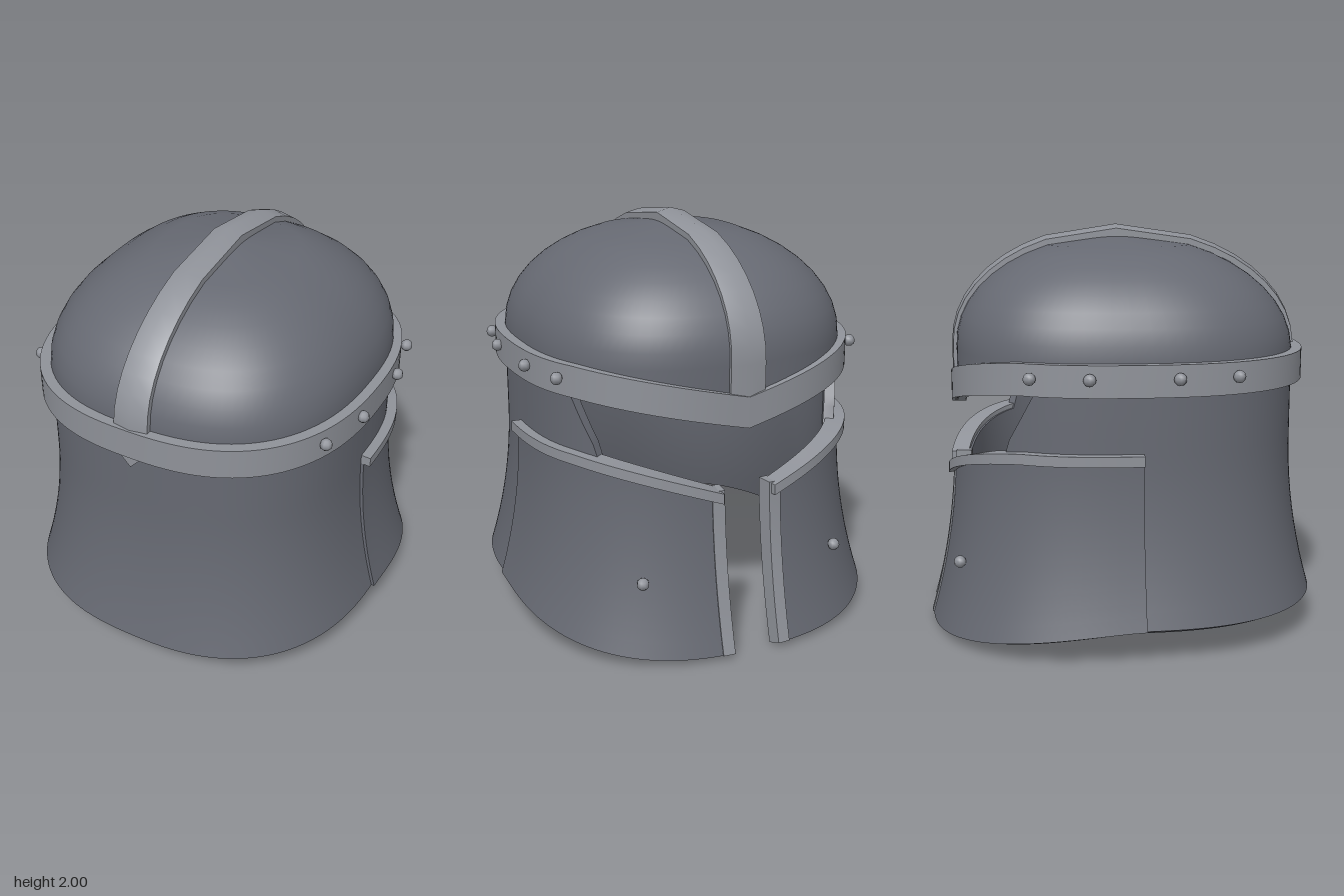
import * as THREE from 'three';
import { mergeGeometries } from 'three/addons/utils/BufferGeometryUtils.js';

const steel = new THREE.MeshStandardMaterial({ color: 0x666972 });
steel.name = 'dark steel';
const trim = new THREE.MeshStandardMaterial({ color: 0x8f9299 });
trim.name = 'light steel trim';

const { abs, sin, cos, sign, max, min, PI } = Math;
const lerp = THREE.MathUtils.lerp;
const soft = (a) => sign(a) * abs(a) ** 0.8;

// Smooth grid of points g(a, b), facing b x a (reversed by flip)
function grid(g, na, nb, flip) {
  const pos = [], idx = [];
  for (let j = 0; j <= nb; j++) for (let i = 0; i <= na; i++) pos.push(...g(i / na, j / nb));
  for (let j = 0; j < nb; j++) for (let i = 0; i < na; i++) {
    const p = j * (na + 1) + i, q = p + na + 1;
    if (flip) idx.push(p, p + 1, q, p + 1, q + 1, q);
    else idx.push(p, q, p + 1, p + 1, q, q + 1);
  }
  const geo = new THREE.BufferGeometry();
  geo.setAttribute('position', new THREE.Float32BufferAttribute(pos, 3));
  geo.setIndex(idx);
  geo.computeVertexNormals();
  return geo;
}

// Curved plate with thickness: f(u, v, s), s = 0 inside, 1 outside
function slab(f, nu, nv, flip = false) {
  const faces = [];
  for (const e of [0, 1]) {
    const r = (e === 0) !== flip;
    faces.push(grid((a, b) => f(a, b, e), nu, nv, r));
    faces.push(grid((a, b) => f(b, e, a), 1, nu, r));
    faces.push(grid((a, b) => f(e, a, b), nv, 1, r));
  }
  return mergeGeometries(faces);
}

// Helmet wall: angle t from the face opening (-z), height y, offset o
const SIDE = 0.795, FACE = 0.83, REAR = 0.865;
const flare = (y) => (max(0, 0.95 - y) / 0.8) ** 2;
function wall(t, y, o) {
  const k = flare(y), c = cos(t);
  const rz = c > 0 ? FACE + 0.1 * k : REAR + 0.118 * k;
  return [soft(sin(t)) * (SIDE + 0.122 * k + o), y, -soft(c) * (rz + o)];
}

// Edge curves
const bottomY = (t) => 0.165 - 0.14 * max(0, 0.05 + 0.95 * soft(cos(t))) ** 1.4;
const cheekDrop = (t) => {
  if (cos(t) < 0) return 0;
  const x = abs(soft(sin(t))) * 0.8;
  return 0.18 * min(1, max(0, 1 - (x - 0.115) / 0.6)) ** 1.3;
};
const browDip = (t) => cos(t) < 0 ? 0
  : 0.15 * max(0, 1 - abs(soft(sin(t))) * 0.845 / 0.75) ** 1.2;
function bodyTop(t) {
  const z = -FACE * soft(cos(t));
  if (z > -0.425) return 1.3;
  if (z > -0.58) return lerp(1.3, 1.0, (-0.425 - z) / 0.155);
  return 0.955 - cheekDrop(t);
}

export function createModel() {
  const model = new THREE.Group();
  model.name = 'helmet';
  const add = (name, geo, mat) => {
    const mesh = new THREE.Mesh(geo, mat);
    mesh.name = name;
    model.add(mesh);
    return mesh;
  };
  const GAP = 0.1;

  // Neck and side wall, open at the face
  add('neckGuard', slab((u, v, s) => {
    const t = lerp(GAP, 2 * PI - GAP, u);
    const low = bottomY(t) - (s ? 0 : 0.023);
    return wall(t, lerp(low, bodyTop(t), v), s ? 0 : -0.05);
  }, 144, 14), steel);

  // Skull dome: short upright skirt, then elliptical rings with a flat crown
  const rings = [0, 8, 16, 24, 32, 40, 48, 56, 65, 90].map((d) => d * PI / 180);
  add('dome', slab((u, v, s) => {
    const t = u * 2 * PI, i = Math.round(v * rings.length), o = s ? 0 : -0.04;
    if (i === 0) return wall(t, 1.29 - browDip(t), o);
    const a = rings[i - 1], p = wall(t, 1.4, o);
    return [p[0] * cos(a), 1.4 + sin(a) * (0.55 + o), p[2] * cos(a) - 0.02 * sin(a)];
  }, 96, rings.length), steel);

  // Brow band, dipping to a point over the face
  add('browBand', slab((u, v, s) => {
    const t = u * 2 * PI, front = max(0, cos(t));
    return wall(t, lerp(1.25, 1.4, v) - browDip(t), s ? 0.05 - 0.02 * front : -0.04);
  }, 120, 1), trim);

  // Crest strip running front to back over the dome
  const arc = [...rings, ...rings.slice(0, -1).reverse().map((a) => PI - a)];
  const last = arc.length + 1;
  add('crestStrip', slab((u, v, s) => {
    const i = Math.round(u * last);
    const a = arc[min(max(i - 1, 0), arc.length - 1)];
    const x = lerp(1, -1, v);
    const o = s ? 0.05 - 0.02 * abs(x) : -0.02;
    const rz = a < PI / 2 ? FACE + 0.5 * o : REAR + 0.8 * o;
    const y = i === 0 ? 1.22 : i === last ? 1.3 : 1.4 + sin(a) * (0.55 + o);
    return [x * lerp(0.09, 0.075, sin(a)), y, -cos(a) * rz - 0.02 * sin(a)];
  }, last, 2), trim);

  // Small point under the band at the back
  const tip = new THREE.Shape([[-0.065, 1.26], [0, 1.19], [0.065, 1.26]]
    .map((p) => new THREE.Vector2(...p)));
  add('backPoint', new THREE.ExtrudeGeometry(tip, { depth: 0.05, bevelEnabled: false }), trim)
    .position.z = 0.855;

  const rivetGeo = new THREE.SphereGeometry(0.03, 8, 6);
  for (const m of [1, -1]) {
    const side = m > 0 ? 'left' : 'right';
    const flip = m < 0;
    const END = 1.6;

    // Cheek plate over the wall
    add(side + 'CheekPlate', slab((u, v, s) => {
      const t = lerp(GAP, END, u);
      return wall(m * t, lerp(bottomY(t), 0.96 - cheekDrop(t), v), s ? 0.016 : -0.01);
    }, 40, 12, flip), steel);

    // Rim along the top of the cheek
    add(side + 'CheekTopRim', slab((u, v, s) => {
      const t = lerp(GAP, END, u);
      return wall(m * t, lerp(0.93, 0.98, v) - cheekDrop(t), s ? 0.05 : -0.04);
    }, 40, 1, flip), trim);

    // Rim along the front slot
    add(side + 'SlotRim', slab((u, v, s) => {
      const low = s ? 0.027 : 0.0;
      const y = lerp(low, 0.98 - cheekDrop(GAP + 0.02), v);
      const rx = SIDE + 0.122 * flare(y);
      const t = Math.asin((lerp(0.115, 0.175, u) / rx) ** 1.25);
      return wall(m * t, y, s ? 0.024 : -0.056);
    }, 2, 12, flip), trim);

    // Rivets on the band and the cheek
    const spots = [[0.85, 1.335, -0.2], [0.79, 1.335, -0.47], [0.85, 1.335, 0.21],
      [0.79, 1.335, 0.49], [0.52, 0.4, -0.815]];
    spots.forEach(([x, y, z], i) => {
      add(side + (i < 4 ? 'BandRivet' : 'CheekRivet'), rivetGeo, trim).position.set(m * x, y, z);
    });
  }
  return model;
}
